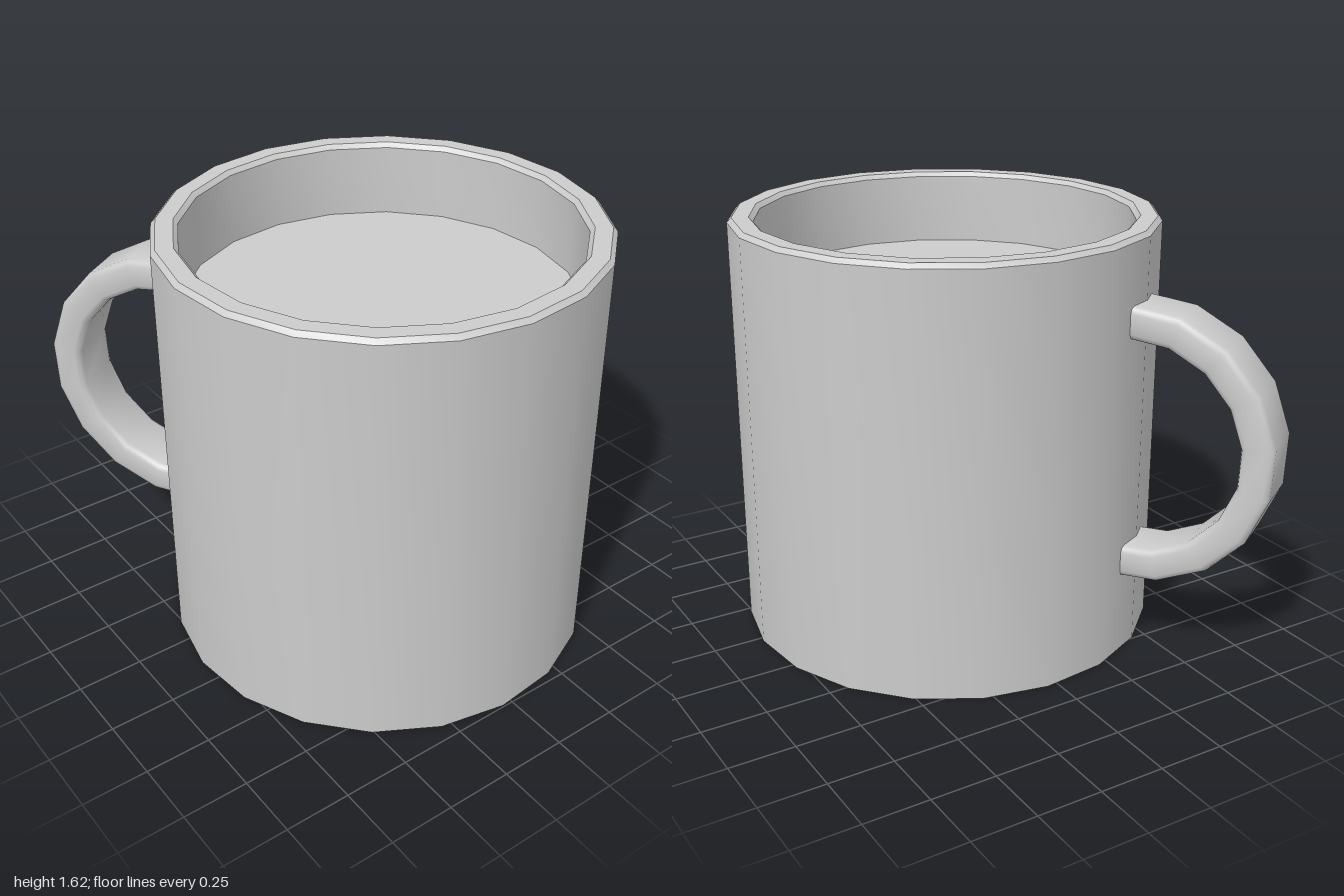
import * as THREE from 'three';
import { toCreasedNormals } from 'three/addons/utils/BufferGeometryUtils.js';

const DEG = Math.PI / 180;
const material = new THREE.MeshStandardMaterial({ color: 0xcccccc });

function part(name, geometry, crease) {
  const mesh = new THREE.Mesh(toCreasedNormals(geometry, crease * DEG), material);
  mesh.name = name;
  return mesh;
}

const points = list => list.map(([x, y]) => new THREE.Vector2(x, y));

// Closed rounded rectangle, counter-clockwise, as a lathe profile
function roundedProfile(inner, outer, halfWidth, r) {
  const corners = [
    [outer - r, -halfWidth + r, -90], [outer - r, halfWidth - r, 0],
    [inner + r, halfWidth - r, 90], [inner + r, -halfWidth + r, 180],
  ];
  const profile = [];
  for (const [cx, cy, start] of corners) {
    for (let i = 0; i <= 2; i++) {
      const a = (start + i * 45) * DEG;
      profile.push([cx + r * Math.cos(a), cy + r * Math.sin(a)]);
    }
  }
  profile.push(profile[0]);
  return points(profile);
}

export function createModel() {
  const mug = new THREE.Group();
  mug.name = 'mug';
  mug.position.z = 0.185;

  // Body: wall with a bevelled rim, closed underneath
  const wall = points([
    [0, 0], [0.81, 0], [0.81, 1.608], [0.793, 1.625],
    [0.73, 1.625], [0.714, 1.608], [0.714, 1.335],
  ]);
  mug.add(part('body', new THREE.LatheGeometry(wall, 20, -2.8 * DEG), 30));

  // Flat filling surface inside the rim
  const surface = points([[0.714, 1.335], [0, 1.335]]);
  mug.add(part('filling', new THREE.LatheGeometry(surface, 20, -2.8 * DEG), 30));

  // Handle: part of a rounded ring, ends buried in the wall
  const ring = new THREE.LatheGeometry(roundedProfile(0.41, 0.535, 0.115, 0.025), 9, -8 * DEG, 192 * DEG);
  ring.rotateX(Math.PI / 2).translate(0.81, 0.845, 0);
  const handle = part('handle', ring, 50);
  handle.rotation.y = 122.8 * DEG;
  mug.add(handle);

  const model = new THREE.Group();
  model.add(mug);
  return model;
}
